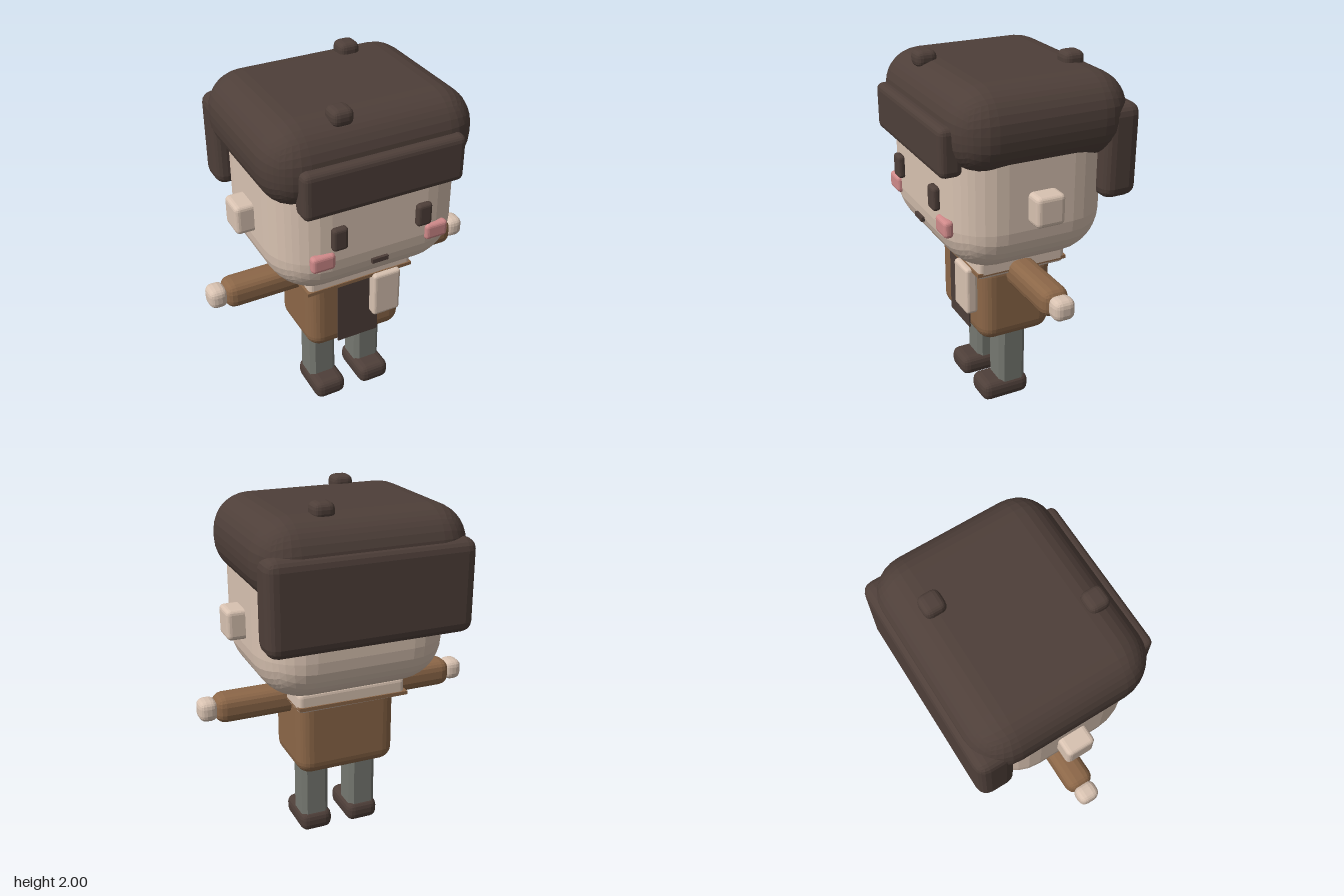
import * as THREE from 'three';
import { RoundedBoxGeometry } from 'three/addons/geometries/RoundedBoxGeometry.js';

function material(name, color) {
  const m = new THREE.MeshStandardMaterial({ color });
  m.name = name;
  return m;
}

export function createModel() {
  const model = new THREE.Group();
  model.name = 'character';

  const hair = material('darkBrown', 0x4e3f39);
  const skin = material('skin', 0xd8c2b1);
  const coat = material('coatBrown', 0x8c6748);
  const grey = material('trouserGrey', 0x767871);
  const pink = material('blushPink', 0xd08a8a);

  // Faceted rounded box given by its limits on each axis
  function block(name, mat, [x0, x1], [y0, y1], [z0, z1], radius = 0, segments = 2, parent = model) {
    const size = [x1 - x0, y1 - y0, z1 - z0];
    const geometry = radius > 0
      ? new RoundedBoxGeometry(...size, segments, radius)
      : new THREE.BoxGeometry(...size);
    if (radius > 0) geometry.computeVertexNormals(); // flat facets
    const mesh = new THREE.Mesh(geometry, mat);
    mesh.name = name;
    mesh.position.set((x0 + x1) / 2, (y0 + y1) / 2, (z0 + z1) / 2);
    parent.add(mesh);
    return mesh;
  }

  // Same block on both sides; x limits are given for the left (+x)
  function pair(name, mat, [x0, x1], ...rest) {
    block('left' + name, mat, [x0, x1], ...rest);
    block('right' + name, mat, [-x1, -x0], ...rest);
  }

  // Head and face
  block('head', skin, [-0.53, 0.53], [0.95, 1.88], [-0.42, 0.465], 0.26, 4);
  pair('Ear', skin, [0.49, 0.627], [1.25, 1.415], [-0.06, 0.1], 0.025);
  pair('Eye', hair, [0.197, 0.282], [1.287, 1.415], [0.455, 0.5], 0.018);
  pair('Cheek', pink, [0.26, 0.39], [1.178, 1.27], [0.435, 0.487], 0.02);
  block('mouth', hair, [-0.048, 0.045], [1.13, 1.155], [0.455, 0.475]);

  // Hair: cap, fringe, back flap and two small tufts
  block('hairCap', hair, [-0.577, 0.577], [1.505, 1.945], [-0.5, 0.475], 0.2, 4);
  block('fringe', hair, [-0.442, 0.442], [1.515, 1.77], [0.4, 0.523], 0.035);
  block('backHair', hair, [-0.562, 0.56], [1.29, 1.79], [-0.523, -0.32], 0.06);
  for (const [name, x, y, z] of [['frontTuft', -0.172, 1.943, 0.343], ['backTuft', 0.203, 1.955, -0.305]]) {
    block(name, hair, [x - 0.058, x + 0.058], [y - 0.045, y + 0.045], [z - 0.058, z + 0.058], 0.035);
  }

  // Torso with dark front panel
  block('torso', coat, [-0.288, 0.288], [0.435, 0.92], [-0.19, 0.237], 0.08, 3);
  block('frontPanel', hair, [-0.127, 0.123], [0.465, 0.88], [0.236, 0.245]);

  // Scarf with a brown band and a hanging end
  block('scarf', skin, [-0.308, 0.312], [0.855, 0.97], [-0.245, 0.268], 0.025);
  const band = block('scarfBand', coat, [-0.322, 0.312], [0.872, 0.892], [-0.253, 0.275]);
  band.rotation.z = 0.008;
  block('scarfEnd', skin, [0.065, 0.232], [0.615, 0.89], [0.237, 0.306], 0.018);

  // Limbs
  pair('Arm', coat, [0.2, 0.705], [0.777, 0.932], [-0.06, 0.095], 0.055);
  pair('Hand', skin, [0.688, 0.793], [0.798, 0.917], [-0.043, 0.077], 0.04);
  for (const side of [-1, 1]) {
    // Trouser leg with chamfered upright edges
    const half = 0.081, cut = 0.055;
    const outline = new THREE.Shape([
      [half, cut], [cut, half], [-cut, half], [-half, cut],
      [-half, -cut], [-cut, -half], [cut, -half], [half, -cut],
    ].map(([x, y]) => new THREE.Vector2(x, y)));
    const geometry = new THREE.ExtrudeGeometry(outline, { depth: 0.42, bevelEnabled: false });
    geometry.rotateX(-Math.PI / 2);
    const leg = new THREE.Mesh(geometry, grey);
    leg.name = side > 0 ? 'leftLeg' : 'rightLeg';
    leg.position.set(side * 0.147, 0.08, 0.02);
    model.add(leg);
  }
  pair('Shoe', hair, [0.05, 0.24], [0, 0.12], [-0.08, 0.207], 0.045);

  return model;
}
